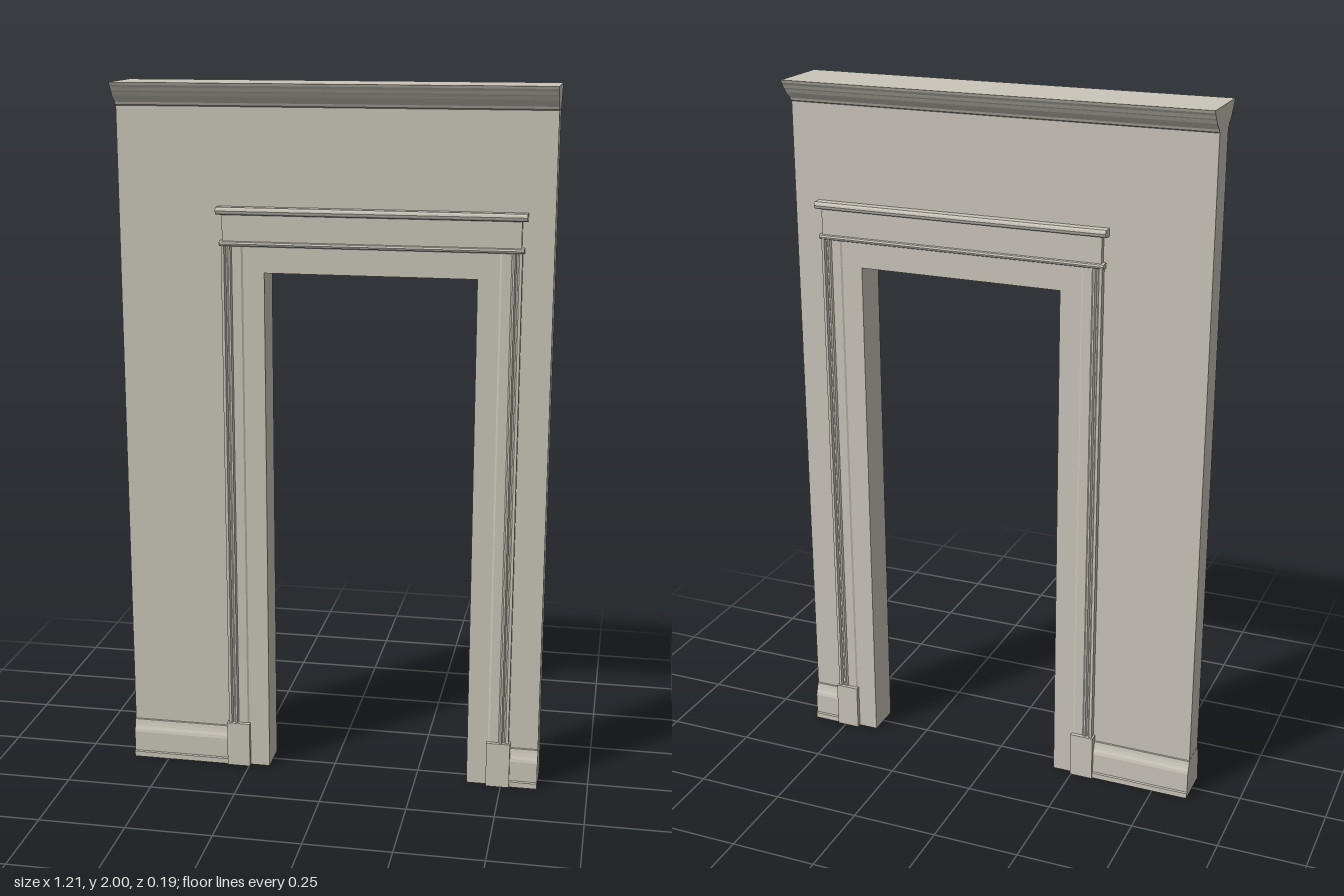
import * as THREE from 'three';

const W = 0.605;        // half width of the wall
const T = 0.041;        // half thickness of the wall
const CX = 0.105;       // centre of the doorway
const OPEN = 0.295;     // half width of the doorway
const TOP = 1.485;      // head of the doorway

export function createModel() {
  const model = new THREE.Group();
  model.name = 'doorwayWall';
  const plaster = new THREE.MeshStandardMaterial({ color: 0xcac6ba });
  plaster.name = 'warm grey plaster';

  const add = (name, geometry) => {
    const mesh = new THREE.Mesh(geometry, plaster);
    mesh.name = name;
    model.add(mesh);
    return mesh;
  };
  const box = (name, x0, x1, y0, y1, halfDepth) => add(name,
    new THREE.BoxGeometry(x1 - x0, y1 - y0, halfDepth * 2)
      .translate((x0 + x1) / 2, (y0 + y1) / 2, 0));
  const shapeOf = pts => new THREE.Shape(pts.map(p => new THREE.Vector2(...p)));
  const extrude = (shape, depth) =>
    new THREE.ExtrudeGeometry(shape, { depth, bevelEnabled: false });

  // Moulding along x: half profile of [z, y], repeated on both wall faces
  const moulding = (name, x0, x1, half) => {
    const other = half.map(([z, y]) => [-z, y]).reverse();
    add(name, extrude(shapeOf([...half, ...other]), x1 - x0)
      .rotateY(Math.PI / 2).translate(x0, 0, 0));
  };
  // Upright moulding: half profile of [x, z], repeated on both wall faces
  const upright = (name, y0, y1, half) => {
    const other = half.map(([x, z]) => [x, -z]).reverse();
    add(name, extrude(shapeOf([...half, ...other]), y1 - y0)
      .rotateX(-Math.PI / 2).translate(0, y0, 0));
  };
  // Arch-like outline running around the doorway
  const portal = (name, x0, x1, top, halfDepth) => add(name, extrude(shapeOf([
    [x0, 0], [CX - OPEN, 0], [CX - OPEN, TOP], [CX + OPEN, TOP],
    [CX + OPEN, 0], [x1, 0], [x1, top], [x0, top],
  ]), halfDepth * 2).translate(0, 0, -halfDepth));

  // Wall and the flat door lining
  portal('wall', -W + 0.0005, W - 0.0005, 1.94, T);
  portal('doorLining', CX - 0.385, CX + 0.385, 1.6, 0.051);

  // Crown moulding
  moulding('cornice', -W, W, [
    [T, 1.935], [0.046, 1.938], [0.049, 1.945], [0.053, 1.949], [0.062, 1.955],
    [0.071, 1.963], [0.077, 1.973], [0.082, 1.977], [0.087, 1.986],
    [0.093, 1.993], [0.096, 2.0],
  ]);

  // Skirting on both sides of the doorway
  const skirting = [
    [0.06, 0], [0.06, 0.016], [0.055, 0.018], [0.055, 0.078], [0.053, 0.086],
    [0.049, 0.094], [0.046, 0.104], [0.044, 0.115], [T - 0.003, 0.118],
  ];
  moulding('rightSkirting', -W, CX - 0.4, skirting);
  moulding('leftSkirting', CX + 0.4, W, skirting);

  // Architraves and plinth blocks, mirrored about the doorway
  for (const [side, s] of [['right', -1], ['left', 1]]) {
    upright(side + 'Architrave', 0.13, 1.562, [
      [0.415, 0.03], [0.415, 0.059], [0.407, 0.059], [0.403, 0.053], [0.399, 0.053],
      [0.395, 0.058], [0.39, 0.058], [0.386, 0.054], [0.36, 0.054], [0.355, 0.051],
      [0.355, 0.03],
    ].map(([x, z]) => [CX + s * x, z]));
    const a = CX + s * 0.42, b = CX + s * 0.352;
    box(side + 'Plinth', Math.min(a, b), Math.max(a, b), 0, 0.135, 0.065);
  }

  // Frieze with a thin bead below and a rounded cap above
  box('frieze', CX - 0.412, CX + 0.412, 1.56, 1.65, 0.057);
  moulding('friezeBead', CX - 0.42, CX + 0.42, [
    [0.057, 1.558], [0.061, 1.56], [0.063, 1.565], [0.061, 1.57], [0.057, 1.572],
  ]);
  moulding('headCap', CX - 0.427, CX + 0.427, [
    [0.057, 1.644], [0.066, 1.646], [0.071, 1.65], [0.073, 1.656], [0.071, 1.662],
    [0.067, 1.666],
  ]);
  return model;
}
